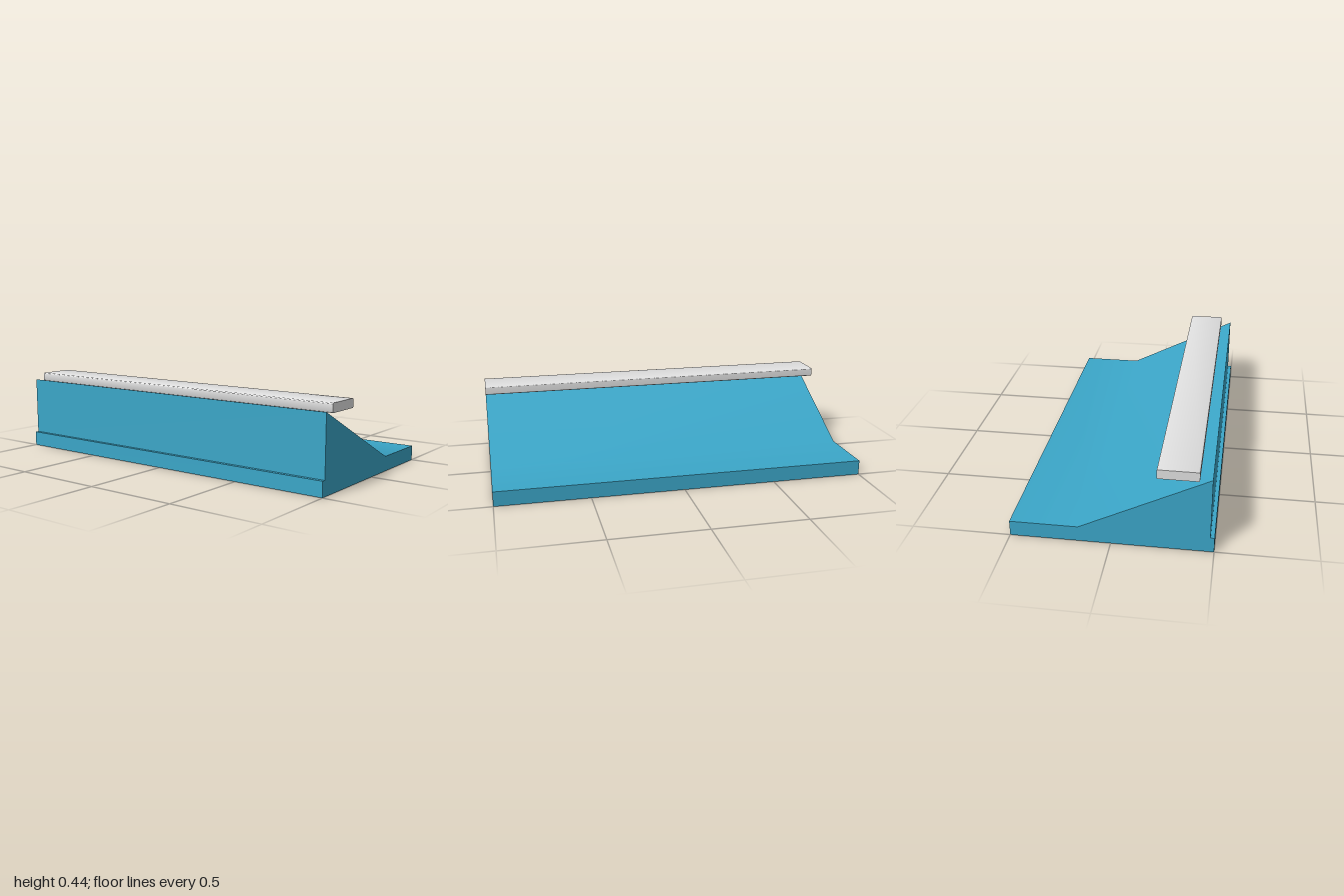
import * as THREE from 'three';
import { toCreasedNormals } from 'three/addons/utils/BufferGeometryUtils.js';

const LENGTH = 2;

// Extrudes a (z, y) profile along x, centred on x = 0
function extrudeAlongX(shape) {
  const geometry = new THREE.ExtrudeGeometry(shape, { depth: LENGTH, bevelEnabled: false, curveSegments: 4 });
  geometry.translate(0, 0, -LENGTH / 2);
  geometry.rotateY(-Math.PI / 2);
  return toCreasedNormals(geometry, 0.6);
}

// Rectangle with rounded corners
function roundedRect(x0, y0, x1, y1, r) {
  const s = new THREE.Shape();
  s.absarc(x1 - r, y0 + r, r, -Math.PI / 2, 0);
  s.absarc(x1 - r, y1 - r, r, 0, Math.PI / 2);
  s.absarc(x0 + r, y1 - r, r, Math.PI / 2, Math.PI);
  s.absarc(x0 + r, y0 + r, r, Math.PI, Math.PI * 1.5);
  s.closePath();
  return s;
}

export function createModel() {
  const group = new THREE.Group();
  group.name = 'rampWithRail';

  const teal = new THREE.MeshStandardMaterial({ color: 0x3ba6c8 });
  teal.name = 'teal';
  const lightGrey = new THREE.MeshStandardMaterial({ color: 0xe0e0e0 });
  lightGrey.name = 'lightGrey';

  // Base slab and sloping wedge as one solid
  const profile = new THREE.Shape([
    [-0.5, 0], [0.5, 0], [0.5, 0.08], [0.48, 0.08],
    [0.48, 0.4], [-0.16, 0.08], [-0.5, 0.08],
  ].map(([z, y]) => new THREE.Vector2(z, y)));
  const ramp = new THREE.Mesh(extrudeAlongX(profile), teal);
  ramp.name = 'ramp';

  // Flat rail floating above the slope
  const rail = new THREE.Mesh(extrudeAlongX(roundedRect(0.22, 0.387, 0.42, 0.435, 0.007)), lightGrey);
  rail.name = 'rail';

  group.add(ramp, rail);
  return group;
}
